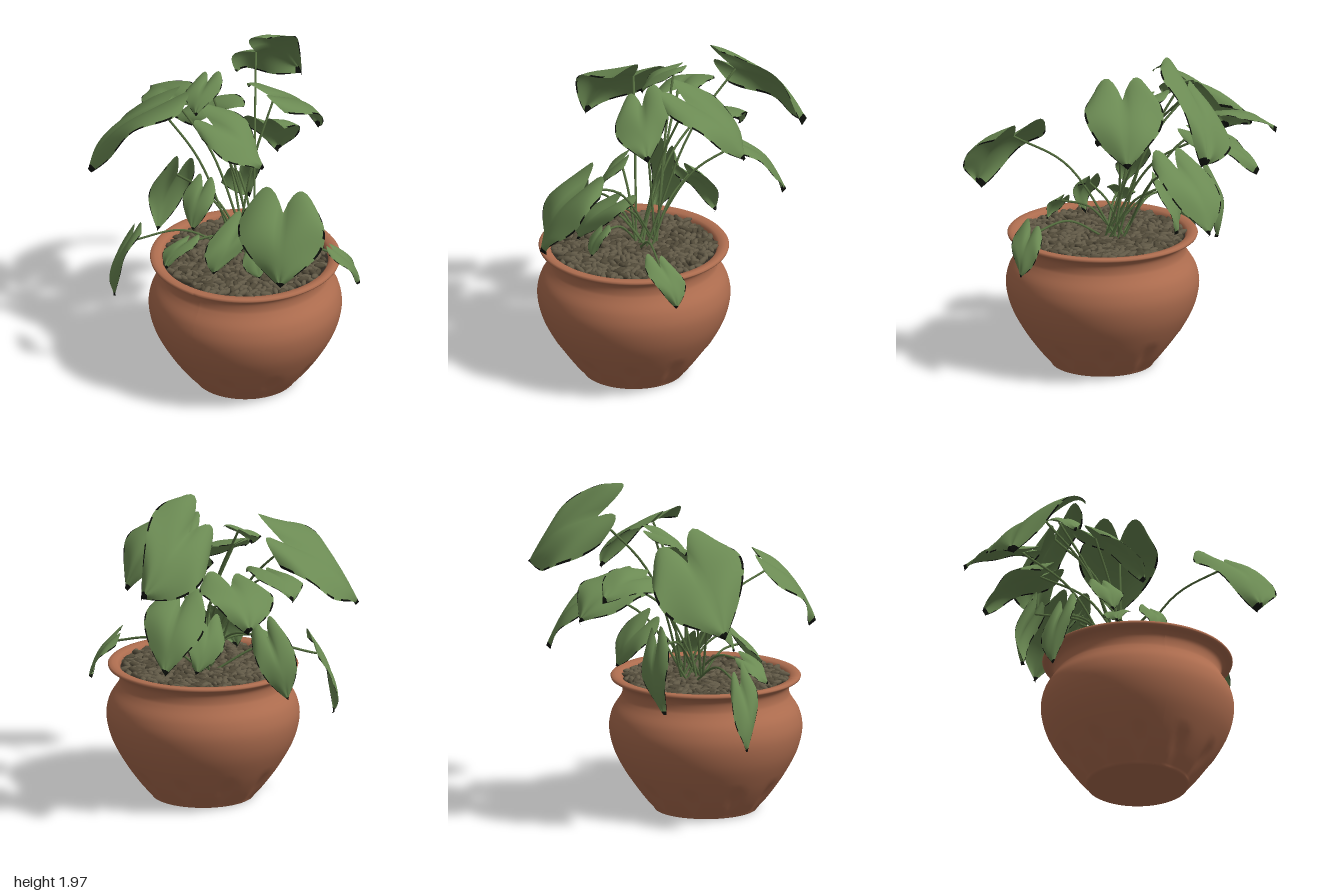
import * as THREE from 'three';
import { mergeGeometries } from 'three/addons/utils/BufferGeometryUtils.js';

const V = (a) => new THREE.Vector3(...a);
const points = (list) => list.map((p) => new THREE.Vector2(...p));
const POT = [0.105, 0, 0.22];

const material = (name, color, side = THREE.FrontSide) => {
  const m = new THREE.MeshStandardMaterial({ color, side });
  m.name = name;
  return m;
};

// small seeded generator for the pebbles
function seeded(seed) {
  return () => (seed = (seed * 16807) % 2147483647) / 2147483647;
}

// Heart-shaped blade: from the stem joint to the tip, with a half-width vector.
// Group 0 is the green surface, group 1 the broken dark margin.
function bladeGeometry(base, tip, side, phase) {
  const NT = 20, NS = 16;
  const axis = tip.clone().sub(base);
  const normal = axis.clone().cross(side).normalize();
  if (normal.y < 0) normal.negate();
  const length = axis.length(), width = side.length();
  const pos = [], green = [], dark = [];
  for (let i = 0; i <= NT; i++) {
    const t = i / NT;
    const half = Math.sin(Math.PI * (0.27 + 0.73 * t));
    for (let j = 0; j <= NS; j++) {
      // the outermost columns form a thin margin
      const edge = j === 0 || j === NS;
      const s = edge ? Math.sign(j - 1) : 0.955 * (2 * (j - 1) / (NS - 2) - 1), a = Math.abs(s);
      // rounded lobes reach back past the joint
      const back = 0.33 * Math.sin(Math.PI * Math.pow(a, 0.9) * 0.9) * (1 - t) ** 1.6;
      const bulge = 0.14 * length * Math.sin(Math.PI * t) - 0.05 * length * back
        + width * (0.16 * a - 0.26 * a * a) + 0.06 * width * a * Math.sin(9 * t + 2 * s + phase);
      const p = base.clone().addScaledVector(axis, t - back)
        .addScaledVector(side, s * half).addScaledVector(normal, bulge);
      pos.push(p.x, p.y, p.z);
      if (i < NT && j < NS) {
        const k = i * (NS + 1) + j, n = k + NS + 1;
        const margin = (j === 0 || j === NS - 1) && Math.sin(i * 1.3 + j + phase) > -0.3;
        (margin || i === NT - 1 ? dark : green).push(k, k + 1, n, k + 1, n + 1, n);
      }
    }
  }
  const g = new THREE.BufferGeometry();
  g.setAttribute('position', new THREE.Float32BufferAttribute(pos, 3));
  g.setIndex([...green, ...dark]);
  g.addGroup(0, green.length, 0);
  g.addGroup(green.length, dark.length, 1);
  g.computeVertexNormals();
  return g;
}

export function createModel() {
  const model = new THREE.Group();
  model.name = 'pottedPlant';
  const terracotta = material('terracotta', 0xae6d4f);
  const soilDark = material('soil dark', 0x2f2a22);
  const pebbleLight = material('pebble light', 0x625a47);
  const pebbleDark = material('pebble dark', 0x504938);
  const leafGreen = material('leaf green', 0x6b8a53, THREE.DoubleSide);
  const leafMargin = material('leaf margin', 0x0c0f0a, THREE.DoubleSide);
  const stemGreen = material('stem green', 0x566f40);

  const add = (parent, name, geometry, mat) => {
    const mesh = new THREE.Mesh(geometry, mat);
    mesh.name = name;
    parent.add(mesh);
    return mesh;
  };

  // Pot: round belly, short neck, flared rim, shallow flutes near the foot
  const belly = new THREE.SplineCurve(points([
    [0.302, 0.012], [0.37, 0.09], [0.455, 0.21], [0.53, 0.35], [0.561, 0.48],
    [0.545, 0.58], [0.5, 0.655], [0.485, 0.69], [0.487, 0.735], [0.51, 0.764], [0.54, 0.776],
  ])).getPoints(48);
  const lip = points([[0.55, 0.782], [0.553, 0.791], [0.546, 0.8], [0.525, 0.803], [0.497, 0.797],
    [0.482, 0.78], [0.475, 0.74]]);
  const foot = points([[0.001, 0], [0.285, 0], [0.297, 0.003]]);
  const potGeometry = new THREE.LatheGeometry([...foot, ...belly, ...lip], 96);
  const pp = potGeometry.attributes.position;
  for (let i = 0; i < pp.count; i++) {
    const y = pp.getY(i), angle = Math.atan2(pp.getZ(i), pp.getX(i));
    if (y > 0.22) continue;
    const groove = Math.pow(0.5 + 0.5 * Math.cos(10 * angle), 4);
    const k = 1 - 0.045 * groove * Math.sin(Math.PI * y / 0.22);
    pp.setX(i, pp.getX(i) * k);
    pp.setZ(i, pp.getZ(i) * k);
  }
  potGeometry.computeVertexNormals();
  add(model, 'pot', potGeometry, terracotta).position.set(...POT);

  // Soil bed covered with long pebbles
  const soil = new THREE.CircleGeometry(0.48, 48).rotateX(-Math.PI / 2);
  add(model, 'soil', soil, soilDark).position.set(POT[0], 0.768, POT[2]);
  const random = seeded(71), light = [], dark = [], COUNT = 560;
  for (let i = 0; i < COUNT; i++) {
    const r = 0.465 * Math.sqrt((i + 0.5) / COUNT), a = i * 2.39996;
    const g = new THREE.SphereGeometry(1, 8, 5);
    g.scale(0.03 + 0.012 * random(), 0.014 + 0.005 * random(), 0.015 + 0.005 * random());
    g.rotateZ((random() - 0.5) * 0.6).rotateY(random() * Math.PI * 2);
    g.translate(POT[0] + r * Math.cos(a), 0.774 + 0.014 * random(), POT[2] + r * Math.sin(a));
    (random() < 0.6 ? light : dark).push(g);
  }
  add(model, 'lightPebbles', mergeGeometries(light), pebbleLight);
  add(model, 'darkPebbles', mergeGeometries(dark), pebbleDark);

  // Leaf with its arching stem rising from the middle of the pot
  let count = 0;
  function leaf(name, base, tip, side) {
    const group = new THREE.Group();
    group.name = name;
    const b = V(base), a = count++ * 2.4;
    add(group, 'blade', bladeGeometry(b, V(tip), V(side), a), [leafGreen, leafMargin]);
    const root = new THREE.Vector3(0.06 + 0.06 * Math.cos(a), 0.77, 0.15 + 0.06 * Math.sin(a));
    const mid = root.clone().lerp(b, 0.5);
    mid.y += 0.16 * Math.hypot(b.x - root.x, b.z - root.z) + 0.08 * (b.y - root.y);
    const path = new THREE.CatmullRomCurve3([root, mid, b]);
    add(group, 'stem', new THREE.TubeGeometry(path, 16, 0.007, 6), stemGreen);
    model.add(group);
  }

  // Crown and back leaves
  leaf('topLeaf', [-0.2, 1.78, -0.36], [-0.16, 1.48, -0.77], [0.18, 0.19, 0.03]);
  leaf('crownLeaf', [0.1, 1.69, -0.09], [0.2, 1.39, -0.43], [0.22, 0, 0.07]);
  leaf('smallCrownLeaf', [-0.3, 1.72, 0], [-0.26, 1.6, 0.19], [0.1, 0.02, -0.03]);
  leaf('backRightLeaf', [-0.36, 1.43, -0.16], [-0.64, 1.26, -0.37], [0.13, 0.03, -0.17]);
  leaf('lowBackLeaf', [-0.14, 1.32, -0.36], [-0.23, 1.0, -0.65], [0.18, 0.02, -0.04]);
  leaf('innerBackLeaf', [-0.14, 1.13, -0.09], [-0.18, 0.89, -0.25], [0.08, 0.04, -0.08]);

  // Leaves on the model's right
  leaf('bigSideLeaf', [-0.47, 1.6, 0.24], [-0.78, 1.24, 0.53], [0.2, 0.11, 0.2]);
  leaf('outerSideLeaf', [-0.52, 1.5, -0.02], [-0.82, 1.44, -0.19], [0.07, 0.04, -0.14]);
  leaf('hangingSideLeaf', [-0.47, 1.08, 0.06], [-0.57, 0.71, 0.12], [-0.07, 0.03, 0.09]);
  leaf('lowHangingLeaf', [-0.47, 0.87, 0.55], [-0.55, 0.51, 0.61], [0.08, 0.06, 0.05]);

  // Front and centre leaves
  leaf('centreLeaf', [-0.14, 1.56, 0.18], [0.18, 1.36, 0.14], [0.05, -0.06, 0.16]);
  leaf('innerFrontLeaf', [-0.14, 1.2, 0.3], [-0.12, 1.0, 0.44], [0.1, 0, 0]);
  leaf('frontLeaf', [0.14, 1.06, 0.33], [0.1, 0.82, 0.55], [0.11, 0.03, -0.1]);
  leaf('lowFrontLeaf', [-0.12, 0.94, 0.5], [-0.17, 0.83, 0.65], [0.09, 0.03, 0]);
  leaf('smallFrontLeaf', [0.29, 0.95, 0.4], [0.36, 0.83, 0.46], [0.06, 0.03, -0.05]);

  // Leaves on the model's left
  leaf('bigLeftLeaf', [0.55, 1.34, 0.5], [0.68, 1.0, 0.74], [0.25, 0, -0.08]);
  leaf('rimLeaf', [0.62, 0.88, 0.05], [0.72, 0.67, -0.05], [0.04, 0.03, 0.1]);

  return model;
}
